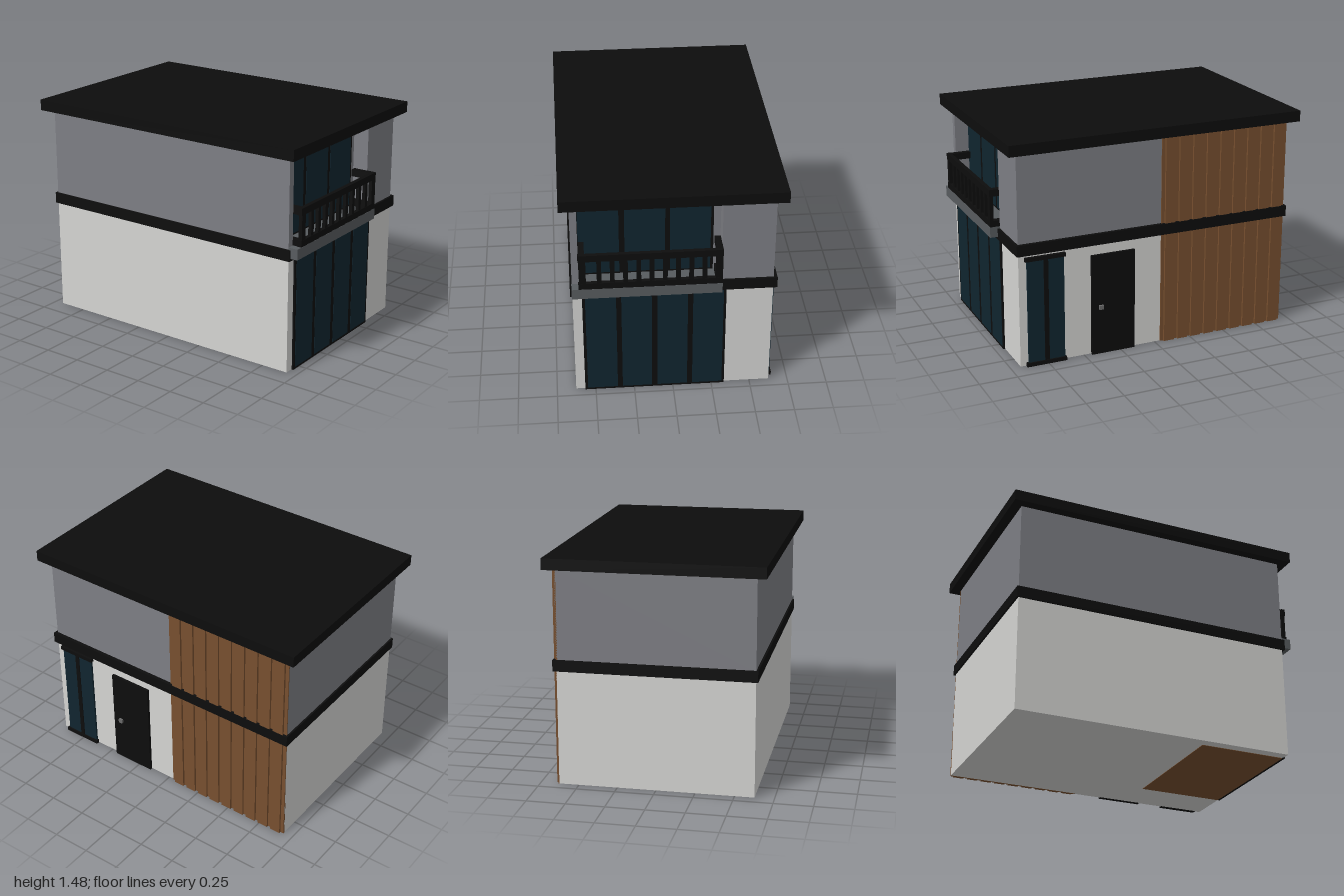
import * as THREE from 'three';

const mat = (name, color) => {
  const m = new THREE.MeshStandardMaterial({ color });
  m.name = name;
  return m;
};

export function createModel() {
  const white = mat('white render', 0xd4d4d2);
  const grey = mat('grey render', 0x7d7e84);
  const black = mat('black trim', 0x0d0d0d);
  const glass = mat('dark glass', 0x10252f);
  const wood = mat('timber', 0x774f2f);
  const concrete = mat('concrete', 0x585c5f);
  const metal = mat('handle metal', 0x6a6a6a);

  const house = new THREE.Group();
  house.name = 'house';
  const group = (name) => {
    const g = new THREE.Group();
    g.name = name;
    house.add(g);
    return g;
  };
  // Box given by its lower and upper limits on each axis
  const box = (parent, name, material, [x0, x1], [y0, y1], [z0, z1]) => {
    const mesh = new THREE.Mesh(new THREE.BoxGeometry(x1 - x0, y1 - y0, z1 - z0), material);
    mesh.position.set((x0 + x1) / 2, (y0 + y1) / 2, (z0 + z1) / 2);
    mesh.name = name;
    parent.add(mesh);
    return mesh;
  };

  // Storeys, floor band and flat roof
  box(house, 'groundFloorWalls', white, [-0.627, 0.627], [0.003, 0.76], [-0.935, 0.935]);
  box(house, 'timberFloor', wood, [-0.56, 0.335], [0, 0.005], [0.35, 0.933]);
  box(house, 'floorBand', black, [-0.64, 0.65], [0.75, 0.823], [-0.947, 0.95]);
  box(house, 'roof', black, [-0.69, 0.69], [1.404, 1.476], [-1, 1]);

  // Upper walls: one footprint with the balcony recess cut into the front
  const recessZ = 0.83;
  const footprint = new THREE.Shape([
    [-0.627, 0.935], [-0.627, -0.935], [0.627, -0.935], [0.627, 0.935],
    [0.3, 0.935], [0.3, recessZ], [-0.583, recessZ], [-0.583, 0.935],
  ].map(([x, z]) => new THREE.Vector2(x, -z)));
  const upperGeo = new THREE.ExtrudeGeometry(footprint, { depth: 0.59, bevelEnabled: false });
  upperGeo.rotateX(-Math.PI / 2);
  const upper = new THREE.Mesh(upperGeo, grey);
  upper.name = 'upperFloorWalls';
  upper.position.y = 0.815;
  house.add(upper);

  // Ground floor glazing: four tall panes in a black frame
  const front = group('frontWindow');
  box(front, 'frontWindowFrame', black, [-0.568, 0.333], [0, 0.752], [0.93, 0.946]);
  for (const x of [[-0.55, -0.357], [-0.325, -0.135], [-0.1, 0.092], [0.125, 0.317]]) {
    box(front, 'frontWindowPane', glass, x, [0.015, 0.745], [0.942, 0.948]);
  }

  // Upper glazing at the back of the recess
  const upperWindow = group('balconyWindow');
  box(upperWindow, 'balconyWindowFrame', black, [-0.583, 0.255], [0.83, 1.404], [recessZ - 0.01, recessZ + 0.01]);
  for (const x of [[-0.58, -0.328], [-0.294, -0.043], [-0.013, 0.238]]) {
    box(upperWindow, 'balconyWindowPane', glass, x, [0.85, 1.402], [recessZ + 0.006, recessZ + 0.013]);
  }

  // Balcony slab and railing
  const balcony = group('balcony');
  box(balcony, 'balconySlab', concrete, [-0.63, 0.3], [0.768, 0.838], [0.936, 1]);
  box(balcony, 'recessFloor', concrete, [-0.583, 0.299], [0.8, 0.838], [recessZ, 0.94]);
  for (const y of [[0.838, 0.879], [1.04, 1.085]]) {
    box(balcony, 'frontRail', black, [-0.587, 0.301], y, [0.972, 0.999]);
    for (const x of [[-0.582, -0.545], [0.262, 0.301]]) {
      box(balcony, 'sideRail', black, x, y, [recessZ + 0.01, 0.975]);
    }
  }
  for (const x of [[-0.58, -0.54], [0.258, 0.3]]) {
    box(balcony, 'railPost', black, x, [0.85, 1.06], [0.974, 0.998]);
  }
  for (let i = 0; i < 9; i++) {
    const x = -0.459 + i * 0.081;
    box(balcony, 'baluster', black, [x - 0.014, x + 0.014], [0.86, 1.06], [0.975, 0.997]);
  }

  // Timber cladding on the rear half of the left wall
  const cladding = group('timberCladding');
  box(cladding, 'claddingBacking', wood, [0.62, 0.633], [0.002, 1.404], [-0.935, -0.037]);
  for (let i = 0; i < 9; i++) {
    const z = -0.06 - i * 0.0975;
    box(cladding, 'claddingBoard', wood, [0.625, 0.647], [0.002, 1.404], [z - 0.072, z]);
  }

  // Side window
  const side = group('sideWindow');
  box(side, 'sideWindowMullion', black, [0.62, 0.645], [0.01, 0.72], [0.744, 0.774]);
  for (const z of [[0.774, 0.883], [0.637, 0.744]]) {
    box(side, 'sideWindowPane', glass, [0.62, 0.64], [0.01, 0.72], z);
  }
  for (const y of [[0, 0.026], [0.708, 0.733]]) {
    box(side, 'sideWindowBar', black, [0.62, 0.65], y, [0.628, 0.896]);
  }

  // Entrance door with handle
  const entrance = group('entrance');
  box(entrance, 'door', black, [0.62, 0.645], [0, 0.68], [0.153, 0.452]);
  box(entrance, 'doorHandle', metal, [0.64, 0.66], [0.31, 0.338], [0.375, 0.403]);

  return house;
}
